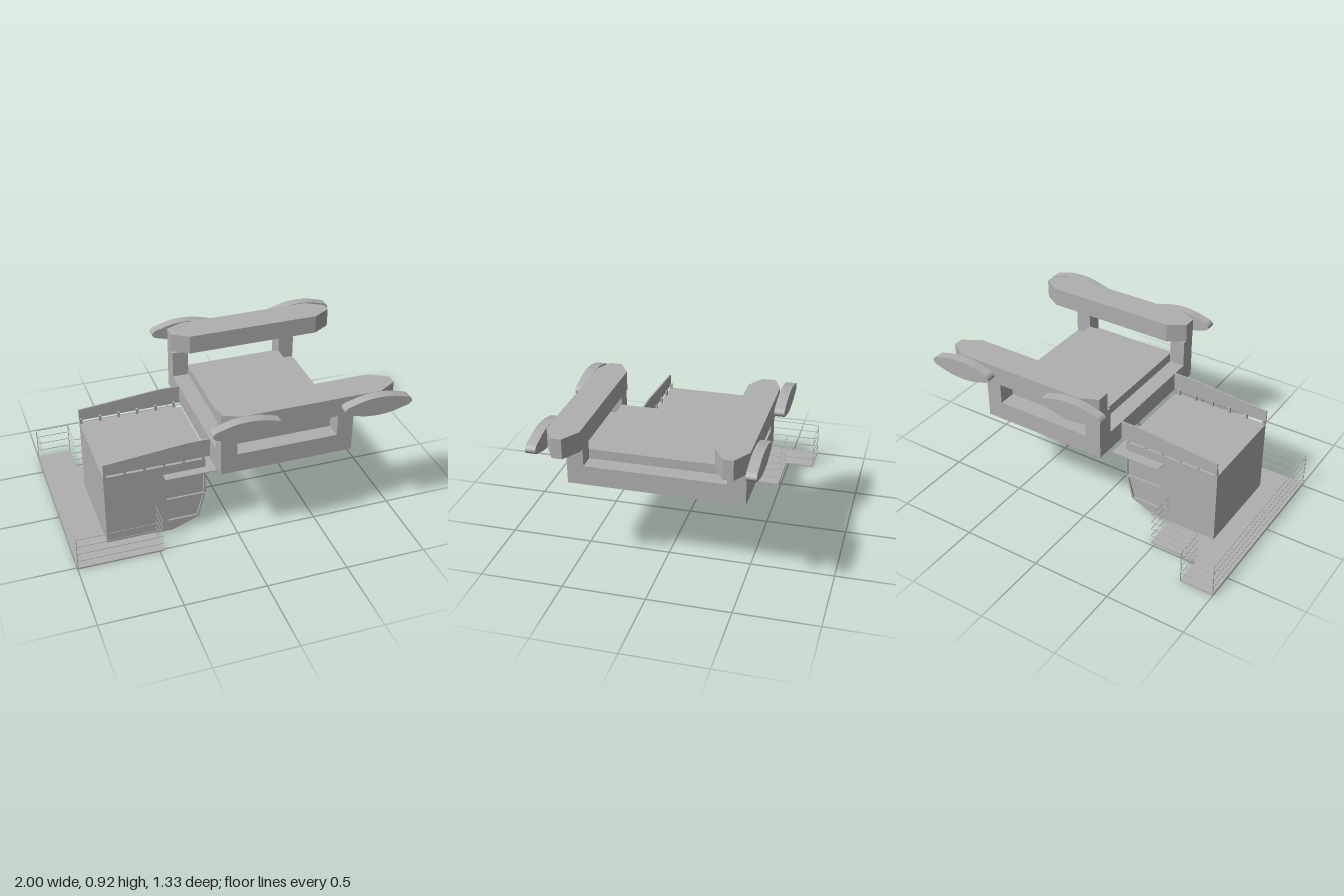
import * as THREE from 'three';

const gray = new THREE.MeshStandardMaterial({ color: 0xb0b0b0 });
gray.name = 'plain gray';

const CZ = 0.04, HALF = 0.305; // cab centre and half width in z

function add(parent, name, geo) {
  const m = new THREE.Mesh(geo, gray);
  m.name = name;
  parent.add(m);
  return m;
}
function group(parent, name) {
  const g = new THREE.Group();
  g.name = name;
  parent.add(g);
  return g;
}
// Box given by its minimum and maximum corners
function box(parent, name, x0, x1, y0, y1, z0, z1) {
  const m = add(parent, name, new THREE.BoxGeometry(x1 - x0, y1 - y0, z1 - z0));
  m.position.set((x0 + x1) / 2, (y0 + y1) / 2, (z0 + z1) / 2);
  return m;
}
const vecs = (pts) => pts.map(([x, y]) => new THREE.Vector2(x, y));
function extrude(pts, depth, holes = []) {
  const s = new THREE.Shape(vecs(pts));
  holes.forEach((h) => s.holes.push(new THREE.Path(vecs(h))));
  return new THREE.ExtrudeGeometry(s, { depth, bevelEnabled: false });
}
// Profile in x/y extruded from z0 to z1
function side(parent, name, pts, z0, z1, holes) {
  const m = add(parent, name, extrude(pts, z1 - z0, holes));
  m.position.z = z0;
  return m;
}
// Plan in x/z extruded from y0 to y1
function plan(parent, name, pts, y0, y1, holes = []) {
  const flip = (p) => p.map(([x, z]) => [x, -z]);
  const m = add(parent, name, extrude(flip(pts), y1 - y0, holes.map(flip)).rotateX(-Math.PI / 2));
  m.position.y = y0;
  return m;
}
const rect = (x0, x1, y0, y1) => [[x0, y0], [x1, y0], [x1, y1], [x0, y1]];

// Thin bar between two points
function rod(parent, name, a, b, t = 0.004) {
  const p = new THREE.Vector3(...a), q = new THREE.Vector3(...b);
  const m = add(parent, name, new THREE.BoxGeometry(t, t, p.distanceTo(q) + t));
  m.position.copy(p).lerp(q, 0.5);
  m.lookAt(q);
}

// Plate on the cab's nose, spanning the profile edge a to b, with openings
function nosePlate(parent, name, a, b, openings) {
  const t = 0.012;
  const v = new THREE.Vector3(b[0] - a[0], b[1] - a[1], 0);
  const len = v.length();
  v.normalize();
  const u = new THREE.Vector3(0, 0, -1);
  const n = new THREE.Vector3().crossVectors(u, v);
  const m = add(parent, name, extrude(rect(-HALF, HALF, 0, len), t, openings(len)));
  m.quaternion.setFromRotationMatrix(new THREE.Matrix4().makeBasis(u, v, n));
  m.position.set(a[0], a[1], CZ).addScaledVector(n, -t);
}

function buildCab(root) {
  const cab = group(root, 'cab');
  const z0 = CZ - HALF, z1 = CZ + HALF, t = 0.012;
  side(cab, 'cabBody', [[-0.78, 0.01], [-0.4, 0.01], [-0.368, 0.022], [-0.208, 0.079],
    [-0.167, 0.243], [-0.167, 0.49], [-0.78, 0.49]], z0 + t, z1 - t);

  // Side walls with recessed door windows
  const wall = [[-0.78, 0.005], [-0.365, 0.005], [-0.2, 0.07], [-0.155, 0.24], [-0.155, 0.49], [-0.78, 0.49]];
  const windows = [rect(-0.4, -0.165, 0.24, 0.375),
    [[-0.395, 0.08], [-0.21, 0.08], [-0.172, 0.222], [-0.4, 0.222]]];
  side(cab, 'leftWall', wall, z0, z0 + t, windows);
  side(cab, 'rightWall', wall, z1 - t, z1, windows);

  // Windscreen, lower window and nose grille
  nosePlate(cab, 'windscreenFrame', [-0.155, 0.24], [-0.155, 0.49], () => [rect(-0.285, 0.285, 0.01, 0.132)]);
  nosePlate(cab, 'lowerWindowFrame', [-0.2, 0.07], [-0.155, 0.24], (l) => [rect(-0.295, 0.295, 0.01, l - 0.012)]);
  nosePlate(cab, 'noseGrille', [-0.365, 0.005], [-0.2, 0.07], (l) => {
    const cols = [-0.3, -0.18, -0.06, 0.18, 0.3], holes = [], rows = 6, h = (l - 0.016) / rows;
    for (let c = 0; c < 4; c++) for (let r = 0; r < rows; r++)
      holes.push(rect(cols[c] + 0.003, cols[c + 1] - 0.003, 0.008 + r * h + 0.004, 0.008 + (r + 1) * h - 0.004));
    return holes;
  });

  // Sun visor wrapping the nose
  plan(cab, 'visor', [[-0.42, -0.33], [-0.1, -0.33], [-0.1, 0.4], [-0.42, 0.4],
    [-0.42, z1], [-0.155, z1], [-0.155, z0], [-0.42, z0]], 0.426, 0.431);

  // Roof side boards on short posts
  const board = [[-0.78, 0.51], [-0.13, 0.51], [-0.13, 0.63], [-0.27, 0.63], [-0.78, 0.585]];
  for (const [z, pz] of [[z0 - 0.008, z0], [z1 - 0.002, z1 - 0.015]]) {
    side(cab, 'roofBoard', board, z, z + 0.01);
    for (let i = 0; i < 6; i++) {
      const x = -0.77 + i * 0.12;
      box(cab, 'roofPost', x - 0.008, x + 0.008, 0.488, 0.525, pz, pz + 0.015);
    }
  }
  rod(cab, 'mirrorArm', [-0.166, 0.238, 0.34], [-0.166, 0.28, 0.44]);
}

function buildPlatform(root) {
  const g = group(root, 'platform');
  plan(g, 'walkway', [[-1, -0.67], [-0.785, -0.67], [-0.785, -0.485], [-0.475, -0.485],
    [-0.475, 0.515], [-1, 0.515]], 0, 0.01);

  // Railing following the outer edge
  const path = [[-0.475, 0.36], [-0.475, 0.515], [-0.998, 0.515], [-0.998, -0.668], [-0.787, -0.668],
    [-0.787, -0.485], [-0.475, -0.485], [-0.475, -0.28]];
  for (const y of [0.06, 0.113, 0.166, 0.219])
    for (let i = 0; i + 1 < path.length; i++)
      rod(g, 'rail', [path[i][0], y, path[i][1]], [path[i + 1][0], y, path[i + 1][1]], 0.003);
  for (const [x, z] of path.slice(2, 5)) box(g, 'railPost', x - 0.002, x + 0.002, 0.005, 0.22, z - 0.002, z + 0.002);
}

function buildCarriage(root) {
  const g = group(root, 'carriage');
  // Open base frame with a raised deck
  plan(g, 'baseFrame', rect(-0.13, 0.69, -0.5, 0.55), 0.51, 0.63, [rect(-0.03, 0.59, -0.39, 0.45)]);
  box(g, 'deck', -0.03, 0.59, 0.63, 0.69, -0.39, 0.45);
  for (const x of [-0.13, 0.59]) for (const z of [-0.5, 0.45])
    box(g, 'column', x, x + 0.1, 0.63, 0.8, z, z + (z < 0 ? 0.11 : 0.1));

  // Upper beams with tapered ends
  for (const z of [-0.45, 0.505])
    plan(g, 'upperBeam', [[-0.13, -0.05], [-0.025, -0.096], [0.83, -0.096], [0.94, -0.03],
      [0.94, 0.03], [0.83, 0.096], [-0.025, 0.096], [-0.13, 0.03]].map(([x, d]) => [x, z + (z < 0 ? d : -d)]), 0.8, 0.92);

  // Lens-shaped pads on the outer faces
  const lens = new THREE.Shape();
  lens.moveTo(-0.19, -0.025);
  lens.lineTo(-0.1, -0.05);
  lens.quadraticCurveTo(0, -0.07, 0.1, -0.05);
  lens.lineTo(0.19, -0.025);
  lens.quadraticCurveTo(0.23, 0, 0.19, 0.025);
  lens.lineTo(0.1, 0.05);
  lens.quadraticCurveTo(0, 0.07, -0.1, 0.05);
  lens.lineTo(-0.19, 0.025);
  lens.quadraticCurveTo(-0.23, 0, -0.19, -0.025);
  const pad = new THREE.ExtrudeGeometry(lens, { depth: 0.06, bevelEnabled: false, curveSegments: 8 });
  for (const x of [-0.005, 0.79]) for (const z of [-0.615, 0.603])
    add(g, 'endPad', pad).position.set(x, 0.86, z);
}

export function createModel() {
  const root = new THREE.Group();
  root.name = 'craneCab';
  buildCab(root);
  buildPlatform(root);
  buildCarriage(root);
  return root;
}
